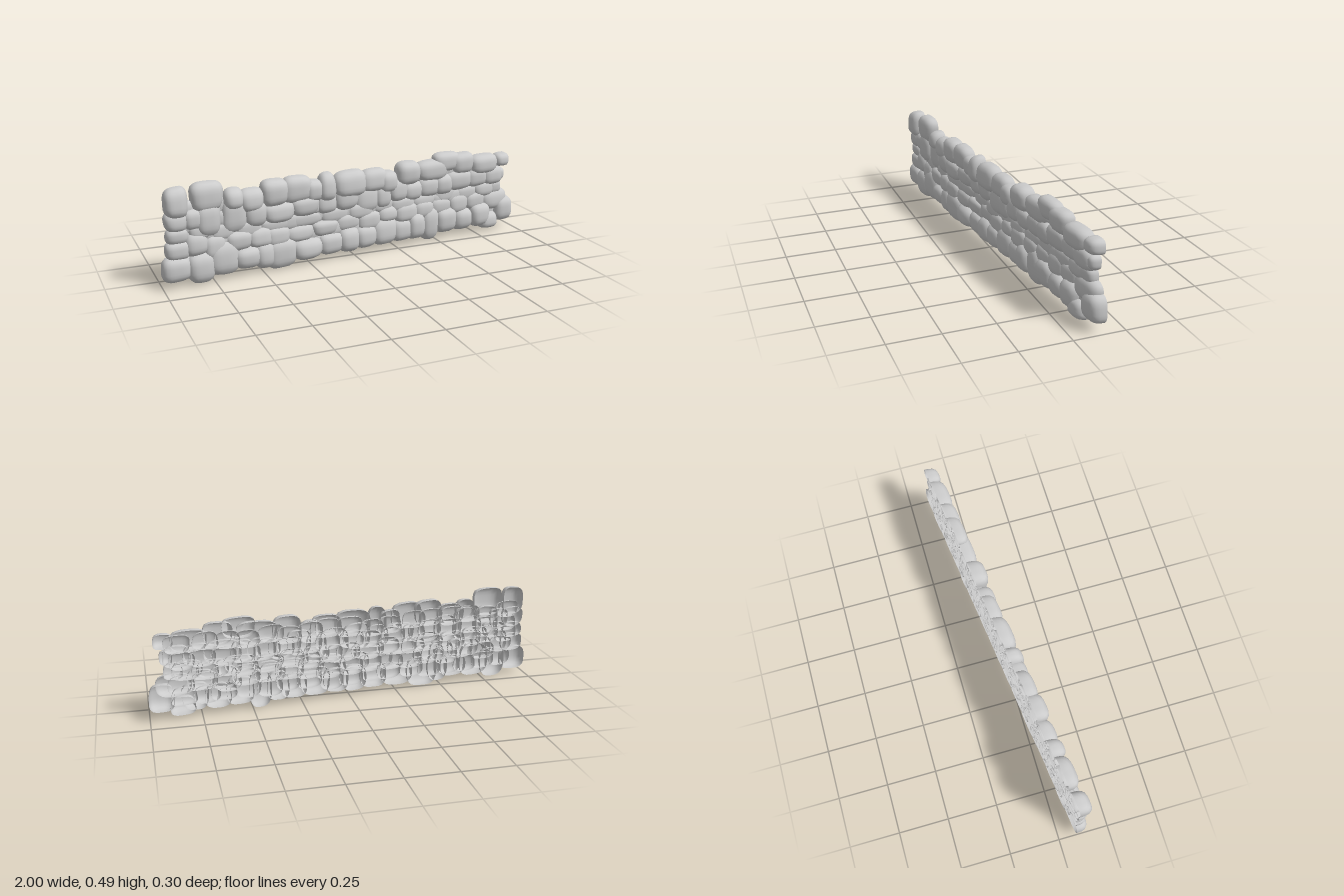
import * as THREE from 'three';

// Each stone: centre x, centre y, width, height
const courses = {
  footingStone: { depth: 0.072, stones: [
    [-.93, .09, .14, .12], [-.81, .08, .14, .15], [-.7, .11, .16, .17], [-.58, .09, .14, .11],
    [-.49, .09, .11, .14], [-.4, .08, .16, .15], [-.26, .08, .17, .11], [-.13, .085, .14, .11],
    [-.03, .09, .12, .13], [.07, .09, .13, .12], [.18, .1, .15, .14], [.29, .09, .13, .12],
    [.37, .1, .11, .14], [.46, .095, .11, .18], [.56, .1, .13, .13], [.67, .09, .13, .12],
    [.78, .1, .13, .13], [.84, .06, .12, .09], [.94, .11, .12, .13]] },
  lowerStone: { depth: 0.058, stones: [
    [-.92, .18, .12, .09], [-.83, .2, .12, .12], [-.74, .17, .11, .12], [-.62, .18, .14, .1],
    [-.51, .18, .13, .1], [-.42, .17, .13, .1], [-.3, .165, .16, .09], [-.16, .17, .15, .08],
    [-.03, .18, .15, .09], [.09, .17, .14, .1], [.2, .19, .13, .09], [.31, .18, .14, .1],
    [.42, .18, .13, .1], [.53, .18, .14, .1], [.64, .18, .13, .11], [.75, .18, .13, .1],
    [.88, .17, .17, .11]] },
  middleStone: { depth: 0.05, stones: [
    [-.92, .25, .11, .08], [-.81, .26, .12, .08], [-.7, .24, .14, .09], [-.57, .23, .14, .09],
    [-.43, .23, .17, .08], [-.27, .23, .19, .08], [-.1, .23, .17, .08], [.04, .23, .15, .09],
    [.17, .24, .13, .08], [.29, .23, .15, .08], [.42, .23, .16, .08], [.56, .24, .15, .08],
    [.69, .23, .15, .09], [.81, .24, .14, .09], [.88, .24, .09, .08]] },
  upperStone: { depth: 0.06, stones: [
    [-.92, .32, .12, .1], [-.84, .32, .1, .1], [-.77, .31, .12, .16], [-.64, .31, .13, .17],
    [-.53, .3, .12, .13], [-.41, .29, .17, .1], [-.27, .3, .16, .1], [-.15, .3, .12, .11],
    [-.04, .31, .14, .13], [.08, .29, .15, .15], [.17, .29, .1, .13], [.26, .31, .12, .12],
    [.35, .29, .13, .1], [.45, .3, .14, .11], [.54, .3, .12, .11], [.64, .31, .18, .11],
    [.76, .31, .14, .1], [.86, .31, .13, .1], [.91, .31, .06, .07]] },
  cappingStone: { depth: 0.068, stones: [
    [-.92, .41, .11, .14], [-.77, .417, .16, .14], [-.64, .39, .1, .1], [-.55, .37, .13, .11],
    [-.43, .39, .14, .13], [-.31, .39, .16, .13], [-.22, .37, .1, .11], [-.15, .38, .1, .14],
    [-.02, .38, .18, .13], [.12, .38, .16, .11], [.2, .36, .11, .11], [.32, .39, .14, .12],
    [.47, .385, .2, .11], [.56, .42, .16, .1], [.66, .4, .14, .11], [.8, .38, .17, .1],
    [.92, .39, .09, .07]] },
};

function seeded(seed) {
  return () => (seed = (seed * 16807) % 2147483647) / 2147483647;
}

// Rounded block shell, open at the back, following the slant of the wall
function stoneGeometry(cx, cy, w, h, depth, rand) {
  const geo = new THREE.SphereGeometry(1, 14, 14, 0, Math.PI);
  const pos = geo.attributes.position;
  const n = 2.7 + rand() * 0.8;
  const taper = (rand() - 0.5) * 0.22, skew = (rand() - 0.5) * 0.14, tilt = (rand() - 0.5) * 0.3;
  for (let i = 0; i < pos.count; i++) {
    const v = new THREE.Vector3().fromBufferAttribute(pos, i);
    const r = (Math.abs(v.x) ** n + Math.abs(v.y) ** n + Math.abs(v.z) ** n) ** (1 / n);
    v.divideScalar(r);
    const px = v.x * (1 + taper * v.y - Math.abs(taper) * 0.5);
    const py = v.y * (1 + skew * v.x - Math.abs(skew) * 0.5);
    const x = cx + px * w / 2;
    const z = Math.max(v.z, 0) * depth * (1 + tilt * 0.5 * v.y);
    pos.setXYZ(i, x, cy + py * h / 2, z - 0.035 - 0.12 * x);
  }
  geo.computeVertexNormals();
  return geo;
}

export function createModel() {
  const wall = new THREE.Group();
  wall.name = 'stoneWall';
  const material = new THREE.MeshStandardMaterial({ color: 0xcccccc, side: THREE.DoubleSide });
  const rand = seeded(4217);

  const addStone = (parent, name, x, y, w, h, d) => {
    const mesh = new THREE.Mesh(stoneGeometry(x, y, w, h, d, rand), material);
    mesh.name = name;
    parent.add(mesh);
  };

  // Visible courses of stones, from the ground up
  for (const [name, { depth, stones }] of Object.entries(courses)) {
    const course = new THREE.Group();
    course.name = name + 'Course';
    for (const [x, y, w, h] of stones) {
      const d = depth * (0.87 + 0.22 * rand()) + 0.06 * (Math.min(w, h) - 0.11);
      addStone(course, name, x, y, w * 1.04, h * 1.05, d);
    }
    wall.add(course);
  }

  // Shallow stones filling the joints
  const filling = new THREE.Group();
  filling.name = 'jointFilling';
  for (let row = 0; row < 5; row++) {
    for (let i = 0; i < 17; i++) {
      const x = -0.87 + i * 0.107 + (rand() - 0.5) * 0.04;
      const y = 0.1 + row * 0.065 + (rand() - 0.5) * 0.03;
      addStone(filling, 'fillingStone', x, y, 0.13, 0.09, 0.03 + 0.015 * rand());
    }
  }
  wall.add(filling);
  return wall;
}
